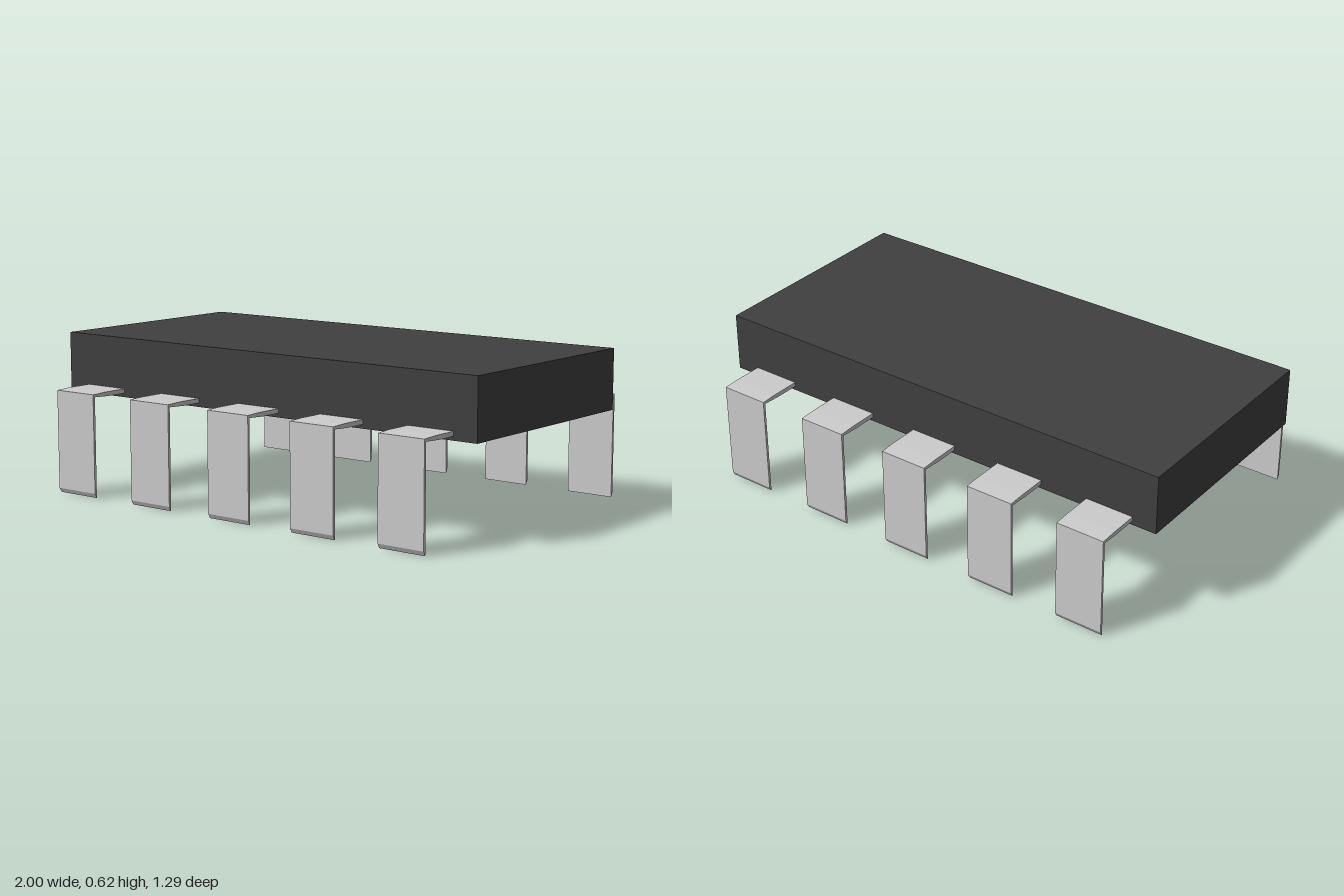
import * as THREE from 'three';

const BODY = { width: 2, height: 0.24, depth: 0.93, y: 0.505, z: 0.005 };
const PIN_WIDTH = 0.2, PIN_PITCH = 0.4, PINS_PER_SIDE = 5;

// Bent pin: side profile (outward, up) extruded across its width
function pinGeometry() {
  const profile = new THREE.Shape([
    [0.44, 0.401], [0.56, 0.401], [0.637, 0.405], [0.637, 0],
    [0.647, 0.018], [0.647, 0.416], [0.58, 0.419], [0.44, 0.419],
  ].map(([z, y]) => new THREE.Vector2(z, y)));
  const geometry = new THREE.ExtrudeGeometry(profile, { depth: PIN_WIDTH, bevelEnabled: false });
  geometry.translate(0, 0, -PIN_WIDTH / 2);
  geometry.rotateY(-Math.PI / 2);
  return geometry;
}

export function createModel() {
  const model = new THREE.Group();
  model.name = 'chip';

  // Dark package block
  const body = new THREE.Mesh(
    new THREE.BoxGeometry(BODY.width, BODY.height, BODY.depth),
    new THREE.MeshStandardMaterial({ color: 0x404040 }),
  );
  body.name = 'body';
  body.position.set(0, BODY.y, BODY.z);
  model.add(body);

  // Two rows of pins, the back row turned half around
  const geometry = pinGeometry();
  const metal = new THREE.MeshStandardMaterial({ color: 0xcccccc });
  for (const side of ['front', 'back']) {
    const row = new THREE.Group();
    row.name = `${side}Pins`;
    for (let i = 0; i < PINS_PER_SIDE; i++) {
      const pin = new THREE.Mesh(geometry, metal);
      pin.name = `${side}Pin${i + 1}`;
      pin.position.x = (i - (PINS_PER_SIDE - 1) / 2) * PIN_PITCH;
      row.add(pin);
    }
    if (side === 'back') row.rotation.y = Math.PI;
    model.add(row);
  }
  return model;
}
